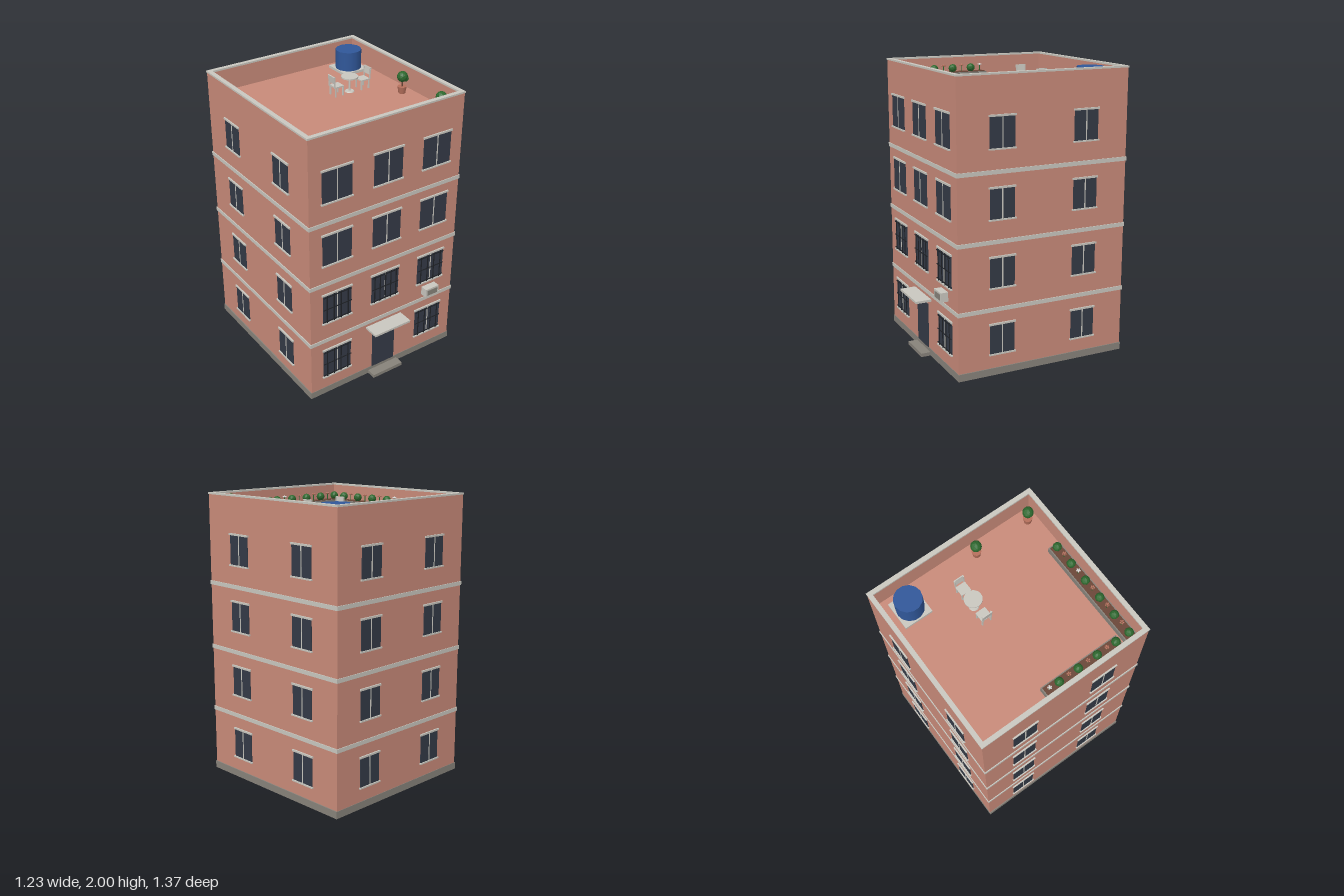
import * as THREE from 'three';

const mat = (name, color, extra = {}) => Object.assign(new THREE.MeshStandardMaterial({ color, ...extra }), { name });
const M = {
  wall: mat('salmon plaster', 0xc88a79),
  trim: mat('pale trim', 0xc9c7bf),
  stone: mat('grey stone', 0x87827a),
  glass: mat('dark glass', 0x343a46),
  bars: mat('black iron', 0x1f2227),
  leaf: mat('leaf green', 0x2d682e, { flatShading: true }),
  soil: mat('brown soil', 0x6a4637),
  clay: mat('terracotta', 0xb5705c),
  petal: mat('white petal', 0xdedcda),
  tank: mat('tank blue', 0x305799),
};

const HX = 0.603, HZ = 0.622;   // half size of the walls
const STOREY = 0.459, ROOF = 1.836;

function add(parent, name, geometry, material, x = 0, y = 0, z = 0) {
  const mesh = new THREE.Mesh(geometry, material);
  mesh.name = name;
  mesh.position.set(x, y, z);
  parent.add(mesh);
  return mesh;
}
const box = (parent, name, material, w, h, d, x, y, z) =>
  add(parent, name, new THREE.BoxGeometry(w, h, d), material, x, y, z);

function group(parent, name, x = 0, y = 0, z = 0) {
  const g = new THREE.Group();
  g.name = name;
  g.position.set(x, y, z);
  parent.add(g);
  return g;
}

// Rectangular ring lying flat, standing on y
function ring(parent, name, material, hx, hz, ix, iz, y, h) {
  const rect = (P, a, b) => new P([[-a, -b], [a, -b], [a, b], [-a, b]].map(p => new THREE.Vector2(...p)));
  const shape = rect(THREE.Shape, hx, hz);
  shape.holes.push(rect(THREE.Path, ix, iz));
  const geo = new THREE.ExtrudeGeometry(shape, { depth: h, bevelEnabled: false }).rotateX(-Math.PI / 2);
  return add(parent, name, geo, material, 0, y, 0);
}

// Window facing +z; its origin is the bottom centre of the glass
function makeWindow(parent, x, y, w, h, barCount = 0) {
  const g = group(parent, 'window', x, y, 0);
  box(g, 'glass', M.glass, w, h, 0.008, 0, h / 2, 0.001);
  box(g, 'mullion', M.trim, 0.008, h, 0.006, 0, h / 2, 0.004);
  box(g, 'lintel', M.trim, w + 0.016, 0.013, 0.016, 0, h + 0.006, 0.002);
  box(g, 'sill', M.trim, w + 0.016, 0.01, 0.022, 0, -0.005, 0.002);
  if (barCount) {
    for (let i = 0; i < barCount; i++)
      box(g, 'grilleBar', M.bars, 0.007, h, 0.004, w * ((i + 0.5) / barCount - 0.5), h / 2, 0.01);
    for (const t of [0.06, 0.5, 0.94]) box(g, 'grilleRail', M.bars, w, 0.006, 0.004, 0, h * t, 0.01);
  }
}

function makeFacades(building) {
  const front = group(building, 'frontFacade', 0, 0, HZ);
  const back = group(building, 'backFacade', 0, 0, -HZ);
  const left = group(building, 'leftFacade', HX, 0, 0);
  const right = group(building, 'rightFacade', -HX, 0, 0);
  back.rotation.y = Math.PI;
  left.rotation.y = Math.PI / 2;
  right.rotation.y = -Math.PI / 2;
  for (let f = 0; f < 4; f++) {
    const y = 0.152 + f * STOREY;
    for (const x of [-0.394, 0, 0.394]) {
      if (f === 0 && x === 0) continue;
      makeWindow(front, x, y, 0.224, 0.22, f > 1 ? 0 : x === 0 ? 5 : 4);
    }
    for (const s of [-1, 1]) {
      makeWindow(back, s * 0.304, y, 0.178, 0.2);
      makeWindow(left, s * 0.306, y, 0.178, 0.2);
      makeWindow(right, s * 0.306, y, 0.178, 0.2);
    }
  }

  // Entrance
  box(front, 'door', M.glass, 0.19, 0.322, 0.008, 0, 0.211, 0.002);
  box(front, 'canopy', M.trim, 0.3, 0.016, 0.112, 0, 0.414, 0.056);
  box(front, 'doorStep', M.stone, 0.25, 0.025, 0.07, 0, 0.0125, 0.035);

  // Air conditioner
  const ac = group(front, 'airConditioner', 0.389, 0.537, 0);
  box(ac, 'acBody', M.trim, 0.114, 0.064, 0.052, 0, 0, 0.026);
  box(ac, 'acVent', M.stone, 0.086, 0.04, 0.006, 0, 0, 0.053);
}

// Planter from (x0, z0) along an axis, with bushes and flowers in turn
function makePlanter(parent, x, z, length, alongX, count, bushFirst, whiteIndex) {
  const g = group(parent, 'planter', x, 0, z);
  if (!alongX) g.rotation.y = -Math.PI / 2;
  box(g, 'planterBox', M.stone, length, 0.05, 0.085, 0, 0.025, 0);
  box(g, 'soil', M.soil, length - 0.016, 0.004, 0.069, 0, 0.051, 0);
  for (let i = 0; i < count; i++) {
    const px = (i - (count - 1) / 2) * 0.0724;
    if ((i % 2 === 0) === bushFirst) {
      add(g, 'bush', new THREE.IcosahedronGeometry(0.03, 1), M.leaf, px, 0.078, 0);
    } else {
      add(g, 'flowerStem', new THREE.CylinderGeometry(0.003, 0.003, 0.045, 5), M.leaf, px, 0.074, 0);
      const petal = i === whiteIndex ? M.petal : M.clay;
      for (let k = 0; k < 5; k++) {
        const a = k / 5 * Math.PI * 2;
        add(g, 'petal', new THREE.IcosahedronGeometry(0.006, 0), petal,
          px + Math.cos(a) * 0.01, 0.098, Math.sin(a) * 0.01);
      }
      add(g, 'flowerHeart', new THREE.IcosahedronGeometry(0.006, 0), petal, px, 0.102, 0);
    }
  }
}

function makeChair(parent, x, z, side) {
  const g = group(parent, 'chair', x, 0, z);
  box(g, 'seat', M.trim, 0.07, 0.009, 0.072, 0, 0.068, 0);
  for (const sx of [-1, 1]) for (const sz of [-1, 1])
    box(g, 'chairLeg', M.trim, 0.008, 0.065, 0.008, sx * 0.03, 0.0325, sz * 0.031);
  for (const sz of [-1, 1])
    box(g, 'backPost', M.trim, 0.008, 0.08, 0.008, side * 0.038, 0.105, sz * 0.031);
  const rest = box(g, 'backrest', M.trim, 0.008, 0.05, 0.072, side * 0.041, 0.122, 0);
  rest.rotation.z = -side * 0.12;
}

function makeRoofTerrace(building) {
  const roof = group(building, 'roofTerrace', 0, ROOF, 0.055);

  // Water tank on its slab
  box(roof, 'tankSlab', M.trim, 0.2, 0.018, 0.2, 0.431, 0.009, -0.49);
  add(roof, 'waterTank', new THREE.CylinderGeometry(0.092, 0.092, 0.136, 14), M.tank, 0.431, 0.086, -0.49);

  // Table and chairs
  const table = group(roof, 'table', 0.21, 0, -0.16);
  add(table, 'tableTop', new THREE.CylinderGeometry(0.059, 0.059, 0.009, 20), M.trim, 0, 0.107, 0);
  add(table, 'tablePost', new THREE.CylinderGeometry(0.007, 0.007, 0.104, 8), M.trim, 0, 0.052, 0);
  add(table, 'tableFoot', new THREE.CylinderGeometry(0.03, 0.034, 0.006, 16), M.trim, 0, 0.003, 0);
  makeChair(roof, 0.103, -0.16, -1);
  makeChair(roof, 0.318, -0.16, 1);

  // Planters
  makePlanter(roof, -0.525, 0.129, 0.58, false, 8, false, 0);
  makePlanter(roof, -0.162, 0.486, 0.795, true, 11, true, 7);

  // Potted trees
  for (const z of [0.063, 0.47]) {
    const tree = group(roof, 'pottedTree', 0.49, 0, z);
    add(tree, 'pot', new THREE.CylinderGeometry(0.032, 0.024, 0.048, 12), M.clay, 0, 0.024, 0);
    add(tree, 'trunk', new THREE.CylinderGeometry(0.005, 0.006, 0.05, 6), M.soil, 0, 0.07, 0);
    add(tree, 'crown', new THREE.IcosahedronGeometry(0.038, 1), M.leaf, 0, 0.118, 0);
    add(tree, 'sideCrown', new THREE.IcosahedronGeometry(0.022, 1), M.leaf, 0.018, 0.104, 0.012);
  }
}

export function createModel() {
  const model = new THREE.Group();
  model.name = 'apartmentBuilding';
  const building = group(model, 'building', 0, 0, -0.055);

  // Base, walls and parapet
  box(building, 'plinth', M.stone, 1.22, 0.05, 1.25, 0, 0.025, 0);
  box(building, 'walls', M.wall, HX * 2, ROOF - 0.05, HZ * 2, 0, (ROOF + 0.05) / 2, 0);
  ring(building, 'parapet', M.wall, HX, HZ, HX - 0.027, HZ - 0.027, ROOF, 1.99 - ROOF);
  ring(building, 'parapetCap', M.trim, HX + 0.004, HZ + 0.003, HX - 0.028, HZ - 0.028, 1.988, 0.012);

  // Storey bands
  for (let i = 1; i < 4; i++)
    ring(building, 'storeyBand', M.trim, HX + 0.006, HZ + 0.005, HX - 0.01, HZ - 0.01, i * STOREY - 0.014, 0.028);

  makeFacades(building);
  makeRoofTerrace(building);
  return model;
}
